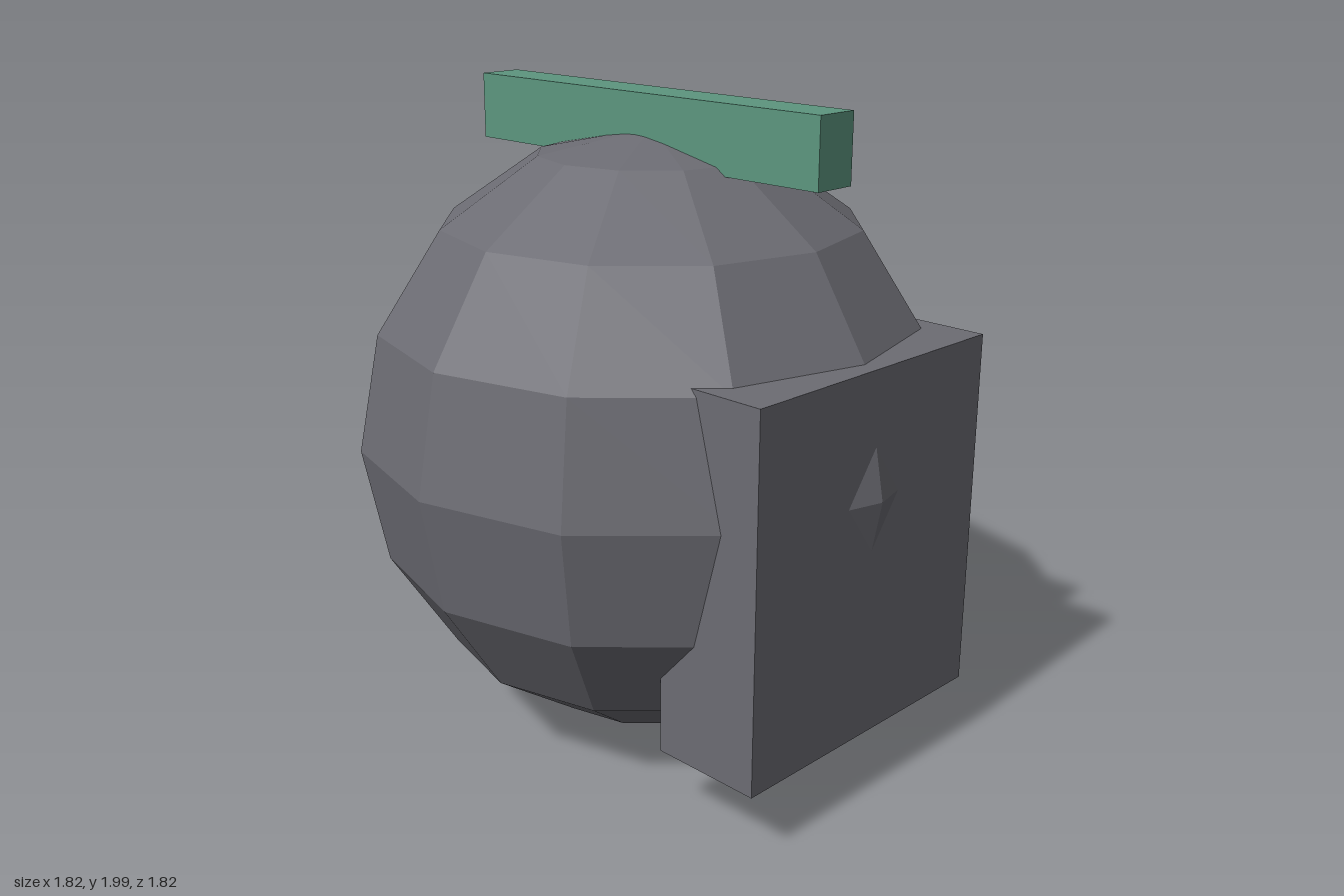
import * as THREE from 'three';

export function createModel() {
  const model = new THREE.Group();
  const grey = new THREE.MeshStandardMaterial({ color: 0x6c6c73 });
  grey.name = 'slate grey';
  const green = new THREE.MeshStandardMaterial({ color: 0x5d967f });
  green.name = 'sage green';

  const add = (name, geometry, material, x, y, z) => {
    const mesh = new THREE.Mesh(geometry, material);
    mesh.name = name;
    mesh.position.set(x, y, z);
    model.add(mesh);
  };

  // Faceted round body, slightly taller than wide
  const ball = new THREE.SphereGeometry(1, 12, 8).scale(0.91, 0.942, 0.91).toNonIndexed();
  ball.computeVertexNormals();
  add('body', ball, grey, 0, 0.948, 0);

  // Block sunk into the front, with the body's foremost corner poking through
  add('frontPanel', new THREE.BoxGeometry(0.98, 1.12, 0.35), grey, 0, 0.77, 0.705);

  // Crest bar running front to back over the top
  add('crestBar', new THREE.BoxGeometry(0.14, 0.205, 1.4), green, 0, 1.8975, 0);

  return model;
}
